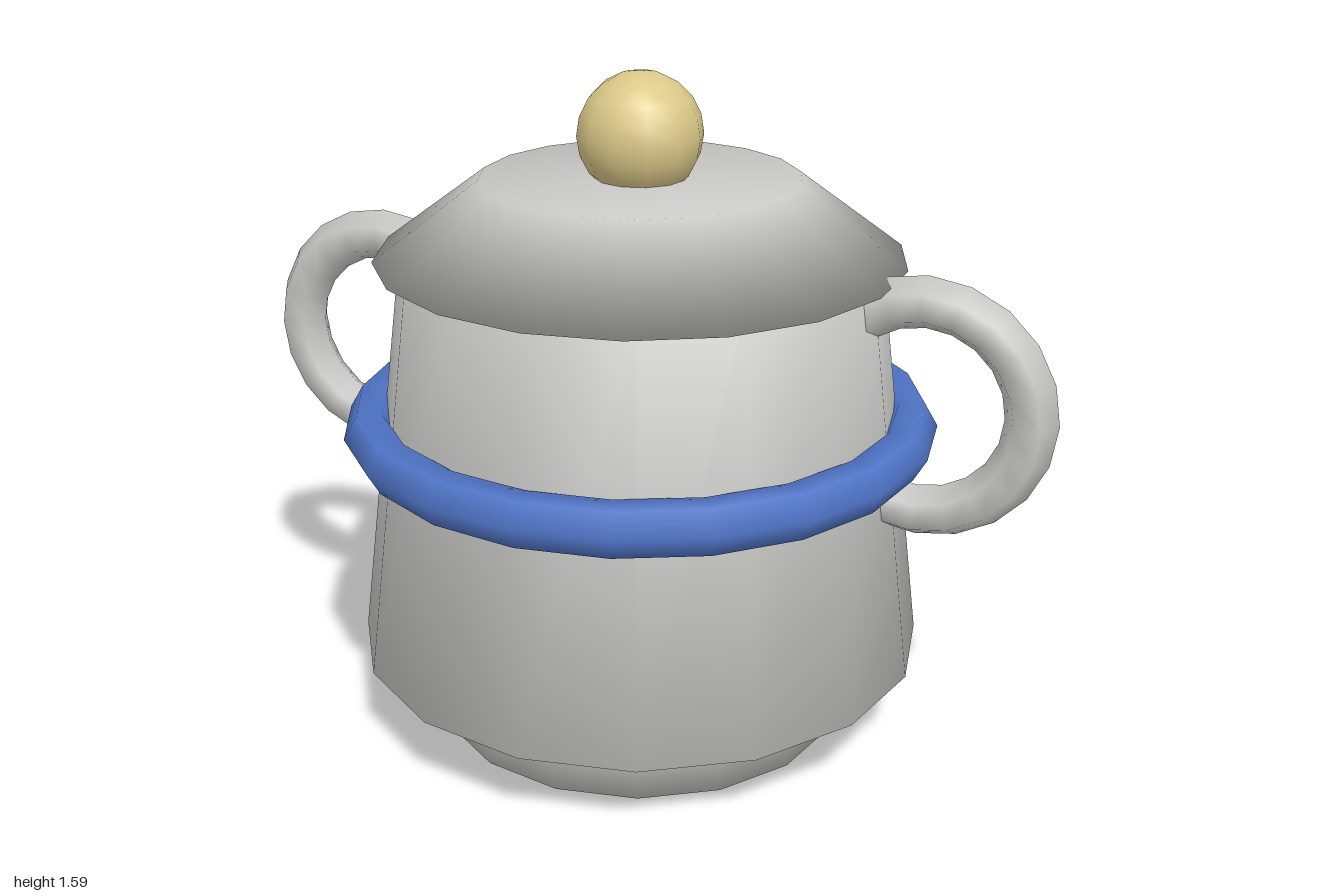
import * as THREE from 'three';
import { mergeVertices } from 'three/addons/utils/BufferGeometryUtils.js';

const material = (name, color) => {
  const m = new THREE.MeshStandardMaterial({ color });
  m.name = name;
  return m;
};

// Closed frustum whose rim normals are shared between wall and caps
function softFrustum(rTop, rBottom, y0, y1, sides) {
  const g = new THREE.CylinderGeometry(rTop, rBottom, y1 - y0, sides);
  g.translate(0, (y0 + y1) / 2, 0);
  g.deleteAttribute('normal');
  g.deleteAttribute('uv');
  const merged = mergeVertices(g, 1e-4);
  merged.computeVertexNormals();
  return merged;
}

export function createModel() {
  const group = new THREE.Group();
  group.name = 'sugarBowl';
  const grey = material('pale grey', 0xc8c8c6);
  const blue = material('blue', 0x4f74c6);
  const gold = material('soft gold', 0xdbc888);

  const add = (name, geometry, mat) => {
    const mesh = new THREE.Mesh(geometry, mat);
    mesh.name = name;
    group.add(mesh);
    return mesh;
  };

  // Foot, tapered body and sloping lid
  add('foot', softFrustum(0.5, 0.5, 0, 0.19, 16), grey);
  add('body', softFrustum(0.565, 0.688, 0.19, 1.16, 16), grey);
  add('lid', softFrustum(0.375, 0.623, 1.16, 1.345, 18), grey);

  // Knob on the lid
  add('knob', new THREE.SphereGeometry(0.147, 12, 10), gold).position.y = 1.442;

  // Blue band around the body
  const band = new THREE.TorusGeometry(0.648, 0.062, 6, 20);
  band.rotateX(Math.PI / 2);
  add('band', band, blue).position.y = 0.753;

  // Curved handles, mirrored left and right
  const arc = Math.PI * 1.4;
  for (const side of [1, -1]) {
    const g = new THREE.TorusGeometry(0.25, 0.061, 6, 14, arc);
    g.rotateZ(-arc / 2);
    if (side < 0) g.rotateY(Math.PI);
    const handle = add(side > 0 ? 'leftHandle' : 'rightHandle', g, grey);
    handle.position.set(side * 0.689, 0.88, 0);
  }
  return group;
}
